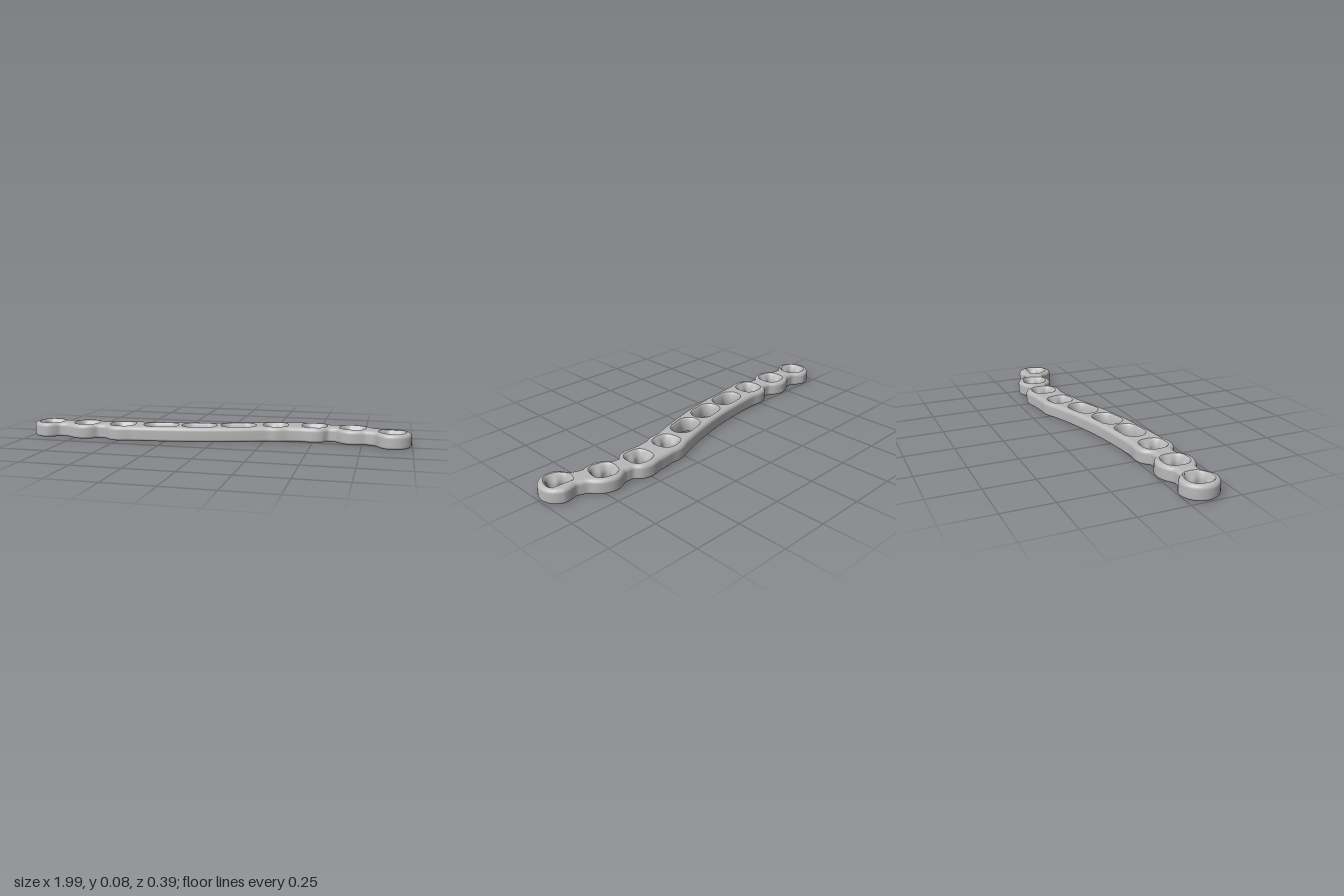
import * as THREE from 'three';

const V = (x, y) => new THREE.Vector2(x, y);

// Hole centres along the plate, as plan coordinates (x, -z)
const centres = [
  [-0.903, -0.092], [-0.70, -0.092], [-0.495, -0.09], [-0.29, -0.07], [-0.09, -0.037],
  [0.11, 0.015], [0.298, 0.075], [0.50, 0.1], [0.70, 0.087], [0.9, 0.015],
].map(([x, y]) => V(x, y));
const isSlot = (i) => i >= 3 && i <= 5;
const STEP = 0.204;                       // mean hole spacing
const LAST = centres.length - 1;
const spine = new THREE.SplineCurve(centres);

// Half width of the plate: scalloped round each screw hole, a straight band in the middle
function halfWidth(s) {
  let sum = 0.056 ** 12;
  for (let i = 0; i <= LAST; i++) {
    if (isSlot(i)) continue;
    const d = s - i * STEP;
    if (Math.abs(d) < 0.095) sum += Math.sqrt(0.095 ** 2 - d * d) ** 12;
  }
  const u = Math.abs(s - 4.5 * STEP) / (2.5 * STEP + 0.085);
  if (u < 1) sum += (0.089 * (1 - u ** 40)) ** 12;
  return sum ** (1 / 12);
}

// Counter-clockwise plan outline with round ends
function plateOutline() {
  const N = 216, lower = [], upper = [], ends = [[], []];
  for (let i = 0; i <= N; i++) {
    const p = spine.getPoint(i / N), t = spine.getTangent(i / N);
    const w = halfWidth((i / N) * LAST * STEP);
    lower.push(V(p.x + t.y * w, p.y - t.x * w));
    upper.unshift(V(p.x - t.y * w, p.y + t.x * w));
  }
  [1, 0].forEach((e, k) => {
    const p = spine.getPoint(e), t = spine.getTangent(e), r = halfWidth(e * LAST * STEP);
    const start = Math.atan2(t.y, t.x) + (e ? -Math.PI / 2 : Math.PI / 2);
    for (let j = 1; j < 20; j++) {
      const a = start + (j / 20) * Math.PI;
      ends[k].push(V(p.x + r * Math.cos(a), p.y + r * Math.sin(a)));
    }
  });
  return [...lower, ...ends[0], ...upper, ...ends[1]];
}

// Moves a loop into the material by d
function inset(loop, d) {
  const n = loop.length;
  return loop.map((p, i) => {
    const t = loop[(i + 1) % n].clone().sub(loop[(i + n - 1) % n]).normalize();
    return V(p.x - t.y * d, p.y + t.x * d);
  });
}

// Clockwise hole loop: four-lobed when k > 0, stretched into a slot when half > 0
function holeLoop(centre, angle, half, r, k) {
  const pts = [], N = 48;
  for (let i = 0; i < N; i++) {
    const a = -((i + 0.5) / N) * Math.PI * 2;
    const rad = r - k * Math.cos(4 * a);
    const p = V(rad * Math.cos(a) + Math.sign(Math.cos(a)) * half, rad * Math.sin(a));
    pts.push(p.rotateAround(V(0, 0), angle).add(centre));
  }
  return pts;
}

// Smooth wall joining stacked loops, listed from bottom to top as { y, loop }
function wall(levels) {
  const pos = [], idx = [], n = levels[0].loop.length;
  for (const { y, loop } of levels) for (const p of loop) pos.push(p.x, y, -p.y);
  for (let l = 0; l < levels.length - 1; l++) {
    for (let i = 0; i < n; i++) {
      const j = (i + 1) % n, a = l * n + i, b = l * n + j;
      idx.push(a, b, b + n, a, b + n, a + n);
    }
  }
  const g = new THREE.BufferGeometry();
  g.setAttribute('position', new THREE.Float32BufferAttribute(pos, 3));
  g.setIndex(idx);
  g.computeVertexNormals();
  return g;
}

// Flat face with holes at height y
function cap(outer, holes, y, up) {
  const pos = [], idx = [];
  for (const p of [outer, ...holes].flat()) pos.push(p.x, y, -p.y);
  for (const [a, b, c] of THREE.ShapeUtils.triangulateShape(outer, holes)) {
    idx.push(...(up ? [a, b, c] : [a, c, b]));
  }
  const g = new THREE.BufferGeometry();
  g.setAttribute('position', new THREE.Float32BufferAttribute(pos, 3));
  g.setIndex(idx);
  g.computeVertexNormals();
  return g;
}

export function createModel() {
  const group = new THREE.Group();
  group.name = 'bonePlate';
  const metal = new THREE.MeshStandardMaterial({ color: 0xb8b8b8 });
  metal.name = 'brushedMetal';
  const add = (name, geometry) => {
    const m = new THREE.Mesh(geometry, metal);
    m.name = name;
    group.add(m);
  };

  // Outer rim with rounded lower and upper edges
  const H = 0.075, RB = 0.013, RT = 0.021, outline = plateOutline(), rim = [];
  for (let i = 0; i <= 5; i++) {
    const a = (i / 5) * Math.PI / 2;
    rim.push({ y: RB * (1 - Math.sin(a)), loop: inset(outline, RB * (1 - Math.cos(a))) });
  }
  rim.reverse();
  // order the lower arc from the underside up to the side wall
  rim.sort((a, b) => a.y - b.y);
  for (let i = 0; i <= 6; i++) {
    const a = (i / 6) * Math.PI / 2;
    rim.push({ y: H - RT * (1 - Math.sin(a)), loop: inset(outline, RT * (1 - Math.cos(a))) });
  }
  // the lower arc runs flat to vertical, so its insets pair with reversed heights
  for (let i = 0; i <= 5; i++) {
    const a = (i / 5) * Math.PI / 2;
    rim[i] = { y: RB * (1 - Math.cos(a)), loop: inset(outline, RB * (1 - Math.sin(a))) };
  }
  add('outerRim', wall(rim));

  // Countersunk holes: height, radius, lobe depth
  const screw = [[0, 0.05, 0.008], [0.006, 0.046, 0.009], [0.03, 0.045, 0.009],
    [0.045, 0.05, 0.007], [0.062, 0.059, 0.004], [0.071, 0.065, 0.003], [H, 0.07, 0.003]];
  const slot = [[0, 0.05, 0], [0.006, 0.046, 0], [0.03, 0.046, 0],
    [0.048, 0.049, 0], [0.064, 0.054, 0], [0.071, 0.058, 0], [H, 0.062, 0]];
  const bottoms = [], tops = [];
  centres.forEach((c, i) => {
    const t = spine.getTangent(i / LAST), angle = Math.atan2(t.y, t.x);
    const levels = (isSlot(i) ? slot : screw).map(([y, r, k]) => (
      { y, loop: holeLoop(c, angle, isSlot(i) ? 0.032 : 0, r, k) }));
    add(isSlot(i) ? 'slotWall' : 'screwHoleWall', wall(levels));
    bottoms.push(levels[0].loop);
    tops.push(levels[levels.length - 1].loop);
  });

  // Flat upper and lower faces
  add('topFace', cap(rim[rim.length - 1].loop, tops, H, true));
  add('bottomFace', cap(rim[0].loop, bottoms, 0, false));
  return group;
}
